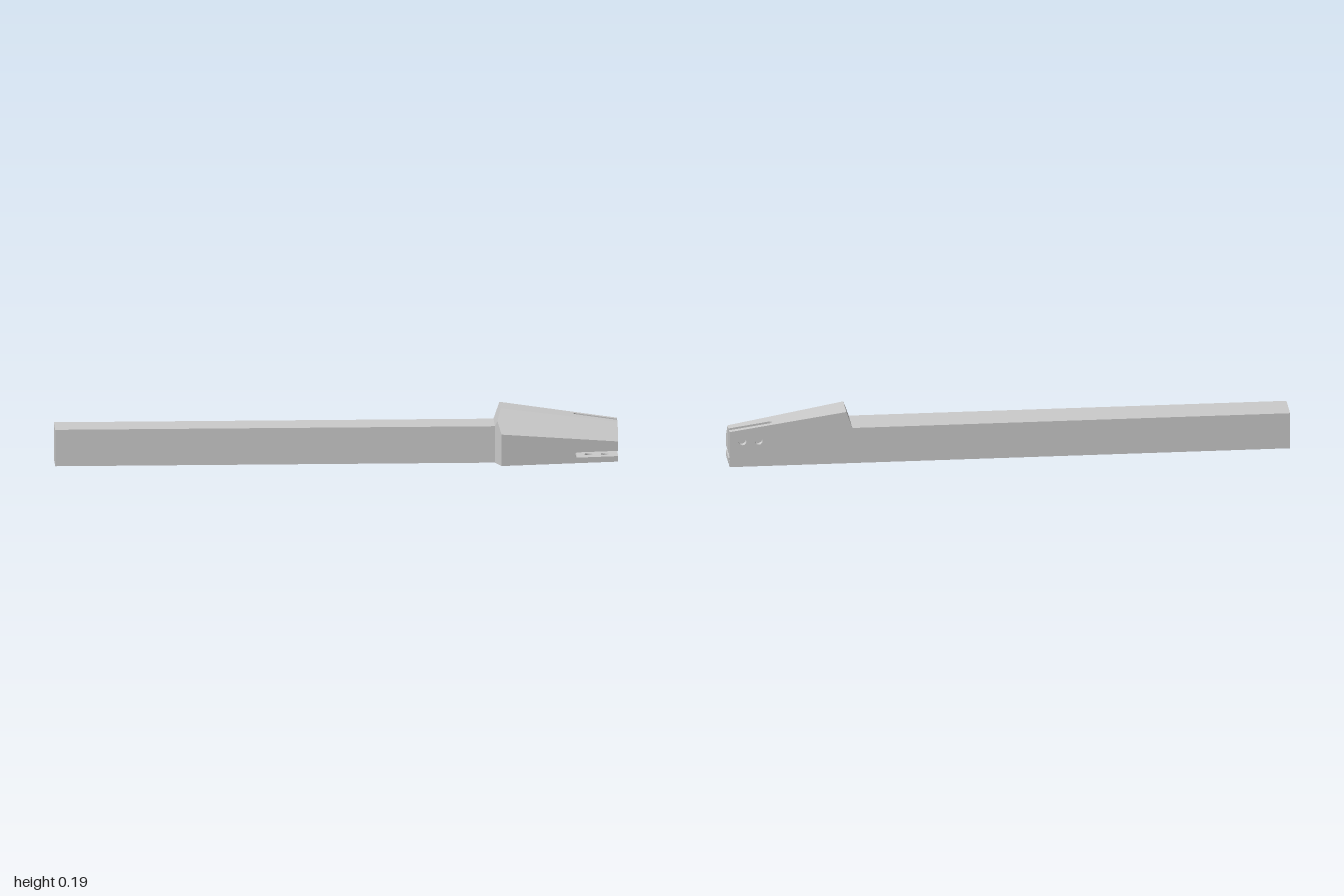
import * as THREE from 'three';

const Z0 = -0.096;            // back plane; sections use u = z - Z0 and v = y
const SQ = 0.132;             // side of the square bar
const X_BAR = 0.562, X_HEAD = 0.583, X_SLOT = 0.845, X_END = 1;
const SLOT_C = 0.0295, SLOT_R = 0.0095;

const material = new THREE.MeshStandardMaterial({ color: 0xcccccc, flatShading: true });

// Flat polygons of [x, u, v] corners, fanned into triangles
function facesMesh(name, faces) {
  const pos = [];
  for (const f of faces)
    for (let i = 1; i < f.length - 1; i++)
      for (const [x, u, v] of [f[0], f[i], f[i + 1]]) pos.push(x, v, u + Z0);
  const g = new THREE.BufferGeometry();
  g.setAttribute('position', new THREE.Float32BufferAttribute(pos, 3));
  g.computeVertexNormals();
  const mesh = new THREE.Mesh(g, material);
  mesh.name = name;
  return mesh;
}

// Skin between cross-sections section(x) at the given x stations
function loftFaces(xs, section, capStart, capEnd) {
  const rings = xs.map(x => section(x).map(([u, v]) => [x, u, v]));
  const faces = [];
  for (let k = 0; k < rings.length - 1; k++) {
    const a = rings[k], b = rings[k + 1];
    a.forEach((p, i) => {
      const j = (i + 1) % a.length;
      faces.push([p, b[i], b[j], a[j]]);
    });
  }
  if (capStart) faces.push(rings[0]);
  if (capEnd) faces.push([...rings.at(-1)].reverse());
  return faces;
}

// Head taper: overall width/height, and where the chamfer begins
const taper = (a, b) => x => a + (b - a) * (x - X_HEAD) / (X_END - X_HEAD);
const wide = taper(0.193, SQ);
const chamfer = taper(0.114, 0.073);
const headSection = x => {
  const w = wide(x), q = chamfer(x);
  return [[0, 0], [w, 0], [w, q], [q, w], [0, w]];
};

// Half width of a slot with a round inner end
const slotHalf = x => {
  const d = Math.min(x - X_SLOT, SLOT_R);
  return Math.sqrt(Math.max(0, SLOT_R ** 2 - (SLOT_R - d) ** 2));
};
const low = x => SLOT_C - slotHalf(x);
const high = x => SLOT_C + slotHalf(x);

// Drilled plate outside a slot, drawn in the (x, u) plane
function plateGeometry() {
  const x0 = X_SLOT + SLOT_R, u0 = SLOT_C + SLOT_R;
  const s = new THREE.Shape();
  s.moveTo(x0, u0);
  s.lineTo(X_END, u0);
  s.lineTo(X_END, wide(X_END));
  s.lineTo(x0, wide(x0));
  for (const hx of [0.954, 0.896]) {
    const h = new THREE.Path();
    h.absarc(hx, 0.095, 0.014, 0, Math.PI * 2, true);
    s.holes.push(h);
  }
  return new THREE.ExtrudeGeometry(s, { depth: SLOT_C - SLOT_R, bevelEnabled: false, curveSegments: 24 });
}

export function createModel() {
  const group = new THREE.Group();

  // Long square bar
  const square = [[0, 0], [SQ, 0], [SQ, SQ], [0, SQ]];
  group.add(facesMesh('bar', loftFaces([-1, X_BAR], () => square, true, false)));

  // Sloped shoulder where the bar swells into the head
  const [s0, s1, s2, s3] = square.map(p => [X_BAR, ...p]);
  const [p0, p1, p2, p3, p4] = headSection(X_HEAD).map(p => [X_HEAD, ...p]);
  const m = [0.57, 0.155, 0.155];
  group.add(facesMesh('shoulder', [
    [s0, p0, p1, s1], [s1, p1, p2, m, s2], [m, p2, p3], [m, p3, p4, s3, s2], [s3, p4, p0, s0],
  ]));

  // Solid tapered head
  group.add(facesMesh('head', loftFaces([X_HEAD, X_SLOT], headSection, false, false)));

  // Stations for the rounded inner end of the slots
  const round = [];
  for (let i = 0; i <= 8; i++) round.push(X_SLOT + SLOT_R * (1 - Math.cos(i / 8 * Math.PI / 2)));
  const full = [...round, X_END];

  // Jaws left between the two crossing slots
  const mainJaw = x => {
    const w = wide(x), q = chamfer(x), h = high(x);
    return [[h, h], [w, h], [w, q], [q, w], [h, w]];
  };
  const cornerJaw = x => {
    const l = low(x);
    return [[0, 0], [l, 0], [l, l], [0, l]];
  };
  const plateRoot = x => [[high(x), 0], [wide(x), 0], [wide(x), low(x)], [high(x), low(x)]];
  const backRoot = x => plateRoot(x).map(([u, v]) => [v, u]).reverse();
  group.add(facesMesh('mainJaw', loftFaces(full, mainJaw, false, true)));
  group.add(facesMesh('cornerJaw', loftFaces(full, cornerJaw, false, true)));
  group.add(facesMesh('bottomPlateRoot', loftFaces(round, plateRoot, false, false)));
  group.add(facesMesh('backPlateRoot', loftFaces(round, backRoot, false, false)));

  // Drilled plates below and behind the slots
  const back = new THREE.Mesh(plateGeometry().translate(0, 0, Z0), material);
  back.name = 'backPlate';
  const bottom = new THREE.Mesh(
    plateGeometry().rotateX(Math.PI / 2).translate(0, SLOT_C - SLOT_R, Z0), material);
  bottom.name = 'bottomPlate';
  group.add(back, bottom);

  // Thin skin closing the horizontal slot at the back
  const skin = new THREE.Mesh(
    new THREE.PlaneGeometry(X_END - X_SLOT, SLOT_R * 2),
    new THREE.MeshStandardMaterial({ color: 0xcccccc, side: THREE.DoubleSide }));
  skin.name = 'slotBackSkin';
  skin.rotation.y = Math.PI;
  skin.position.set((X_SLOT + X_END) / 2, SLOT_C, Z0);
  group.add(skin);

  return group;
}
